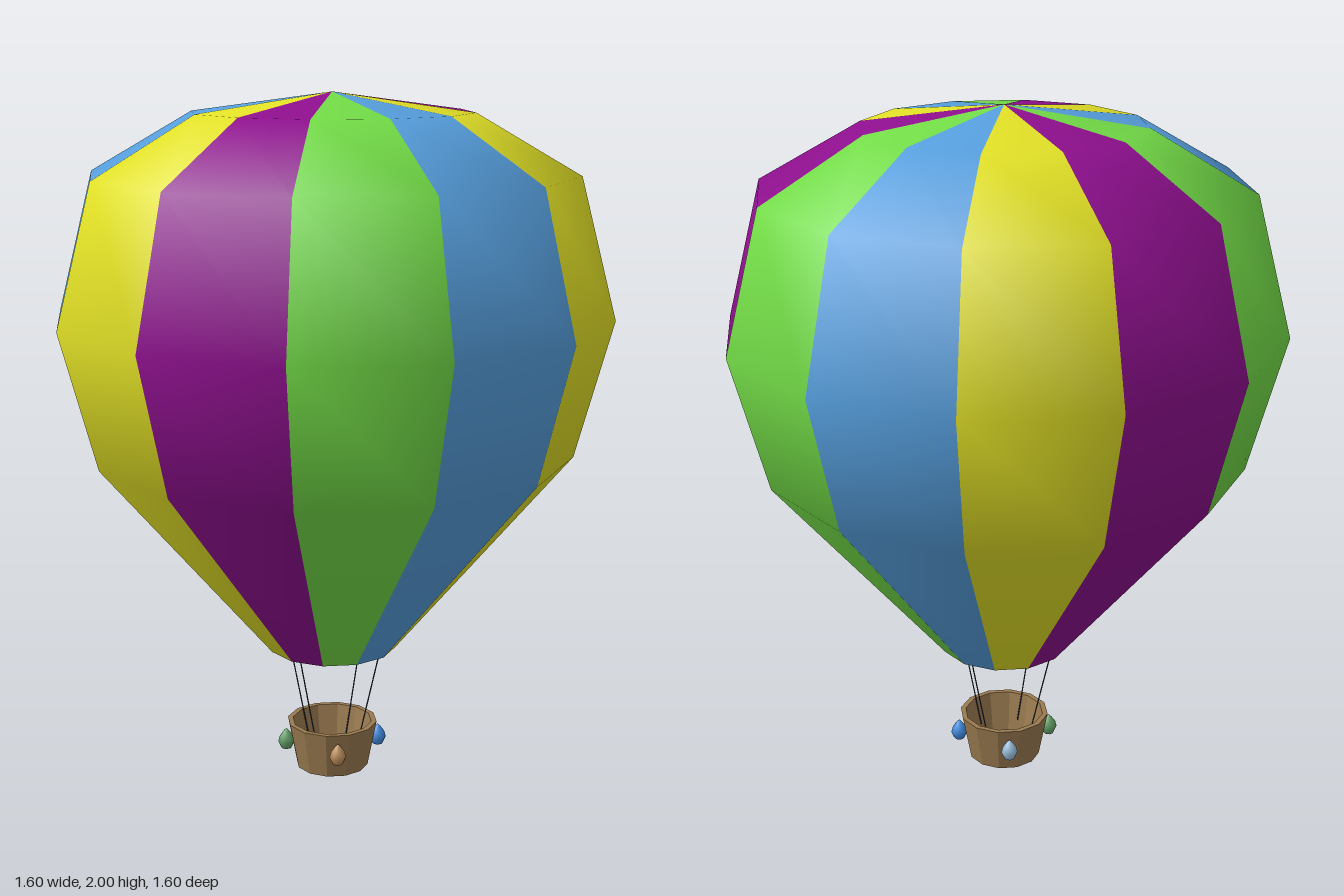
import * as THREE from 'three';

const mat = (name, color, side = THREE.FrontSide) => {
  const m = new THREE.MeshStandardMaterial({ color, side });
  m.name = name;
  return m;
};

const points = (list) => list.map(([r, y]) => new THREE.Vector2(r, y));

export function createModel() {
  const model = new THREE.Group();
  model.name = 'hotAirBalloon';
  const add = (name, geometry, material, parent = model) => {
    const mesh = new THREE.Mesh(geometry, material);
    mesh.name = name;
    parent.add(mesh);
    return mesh;
  };

  // Gore colours in order, turning from the front towards +x
  const gores = [
    mat('purple', 0x8e0f8e, THREE.DoubleSide),
    mat('green', 0x73dc47, THREE.DoubleSide),
    mat('blue', 0x569fde, THREE.DoubleSide),
    mat('yellow', 0xe1e026, THREE.DoubleSide),
  ];
  const wicker = mat('wicker', 0x9a7a50);
  const cord = mat('cord', 0x35414c);

  // Envelope: twelve gores, open at the mouth
  const profile = points([
    [0.19, 0.38], [0.695, 0.98], [0.8, 1.375], [0.695, 1.775], [0.4, 1.945], [0, 2],
  ]);
  const envelope = new THREE.LatheGeometry(profile, 12);
  let start = 0;
  for (let i = 0; i < 12; i++) {
    const count = 6 * (profile.length - 1);
    envelope.addGroup(start, count, i % 4);
    start += count;
  }
  add('envelope', envelope, gores);

  // Basket: hollow tapered tub with a floor
  const tub = new THREE.LatheGeometry(points([
    [0, 0], [0.108, 0], [0.135, 0.14], [0.119, 0.14], [0.096, 0.015], [0, 0.015],
  ]), 12).toNonIndexed();
  tub.computeVertexNormals();
  add('basket', tub, wicker);

  // Ropes from the mouth down into the basket
  const ropes = new THREE.Group();
  ropes.name = 'ropes';
  model.add(ropes);
  const up = new THREE.Vector3(0, 1, 0);
  for (let i = 0; i < 4; i++) {
    const a = (i * Math.PI) / 2;
    const at = (r, y) => new THREE.Vector3(r * Math.sin(a), y, r * Math.cos(a));
    const low = at(0.09, 0.06), high = at(0.174, 0.385);
    // front and back ropes stand slightly apart
    const shift = i === 0 ? 0.018 : i === 2 ? -0.016 : 0;
    low.x += shift;
    high.x += shift;
    const dir = high.clone().sub(low);
    const rope = add('rope', new THREE.CylinderGeometry(0.002, 0.002, dir.length(), 5), cord, ropes);
    rope.position.copy(low).add(high).multiplyScalar(0.5);
    rope.quaternion.setFromUnitVectors(up, dir.normalize());
  }

  // Drop-shaped sandbags on the four diagonals
  const drop = new THREE.LatheGeometry(points([
    [0, -0.033], [0.016, -0.026], [0.025, -0.006], [0.02, 0.012], [0.009, 0.027], [0, 0.036],
  ]), 8);
  const bags = new THREE.Group();
  bags.name = 'sandbags';
  model.add(bags);
  [
    mat('tan', 0xb98c58), mat('brightBlue', 0x3f8be0),
    mat('paleBlue', 0x98bbd8), mat('sageGreen', 0x629f66),
  ].forEach((material, i) => {
    const a = Math.PI / 4 + (i * Math.PI) / 2;
    const bag = add('sandbag', drop, material, bags);
    bag.position.set(0.139 * Math.sin(a), 0.082, 0.139 * Math.cos(a));
  });

  return model;
}
